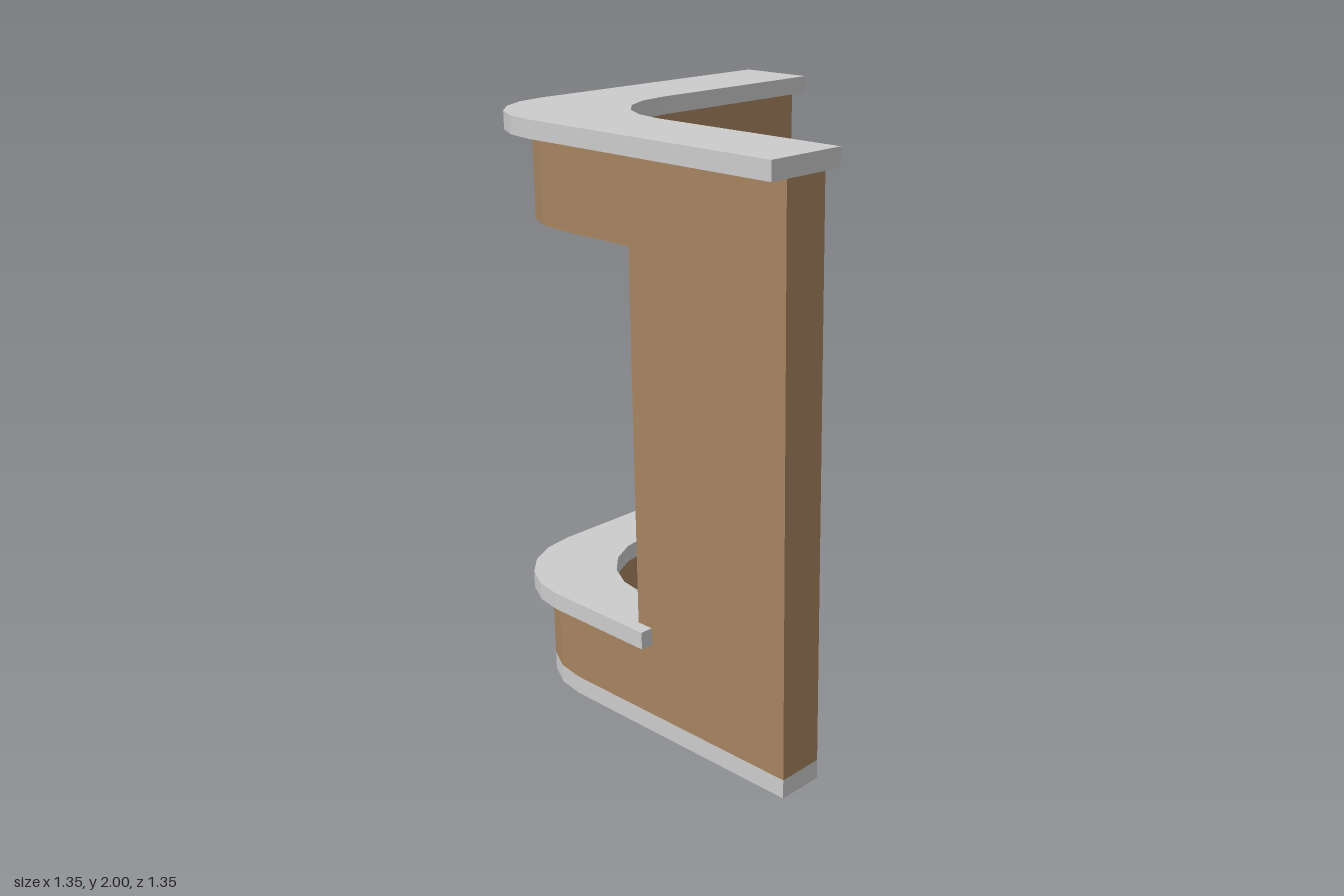
import * as THREE from 'three';

const OUT = -0.615, IN = -0.455;   // outer and inner wall faces
const END = 0.675, OPEN = 0.033;   // end of each arm, edge of the opening
const R = 0.33, SEGMENTS = 5;      // corner rounding

// Plan points along one face: arm end, faceted corner, other arm end.
function facePoints(face, end) {
  const pts = [new THREE.Vector2(end, face)];
  for (let i = 0; i <= SEGMENTS; i++) {
    const a = -Math.PI / 2 * (1 + i / SEGMENTS);
    pts.push(new THREE.Vector2(face + R + R * Math.cos(a), face + R + R * Math.sin(a)));
  }
  pts.push(new THREE.Vector2(face, end));
  return pts;
}

// L-shaped plan with a rounded corner; the outer face may run past the inner one as ears.
function cornerPlan(outer, inner, end, earEnd = end) {
  const pts = facePoints(outer, earEnd);
  const ears = earEnd !== end;
  if (ears) pts.push(new THREE.Vector2(OUT, earEnd), new THREE.Vector2(OUT, end));
  pts.push(...facePoints(inner, end).reverse());
  if (ears) pts.push(new THREE.Vector2(end, OUT), new THREE.Vector2(earEnd, OUT));
  return new THREE.Shape(pts);
}

export function createModel() {
  const model = new THREE.Group();
  model.name = 'cornerWallWithOpening';
  const grey = new THREE.MeshStandardMaterial({ color: 0xcccccc, flatShading: true });
  const wood = new THREE.MeshStandardMaterial({ color: 0xa68460, flatShading: true });

  // Raise a plan from y0 to y1.
  function slab(name, plan, y0, y1, material) {
    const geometry = new THREE.ExtrudeGeometry(plan, { depth: y1 - y0, bevelEnabled: false });
    geometry.rotateX(-Math.PI / 2).translate(0, y0, 0);
    const mesh = new THREE.Mesh(geometry, material);
    mesh.name = name;
    model.add(mesh);
  }

  // Plinth and worktop run the full length of both arms
  slab('plinth', cornerPlan(OUT, IN, END), 0, 0.065, grey);
  slab('topLedge', cornerPlan(-0.677, -0.39, END), 1.94, 2, grey);

  // Curved wall below and above the opening
  slab('lowerWall', cornerPlan(OUT, IN, OPEN), 0.065, 0.325, wood);
  slab('upperWall', cornerPlan(OUT, IN, OPEN), 1.65, 1.94, wood);

  // Sill, flush inside, with ears over the outer wall faces
  slab('sill', cornerPlan(-0.66, IN, OPEN, 0.095), 0.325, 0.385, grey);

  // Solid panel at the end of each arm
  const length = END - OPEN, mid = (END + OPEN) / 2, depth = IN - OUT, face = (IN + OUT) / 2;
  const height = 1.94 - 0.065, y = (1.94 + 0.065) / 2;
  const frontPanel = new THREE.Mesh(new THREE.BoxGeometry(length, height, depth), wood);
  frontPanel.name = 'frontPanel';
  frontPanel.position.set(mid, y, -face);
  const sidePanel = new THREE.Mesh(new THREE.BoxGeometry(depth, height, length), wood);
  sidePanel.name = 'sidePanel';
  sidePanel.position.set(face, y, -mid);
  model.add(frontPanel, sidePanel);

  return model;
}
